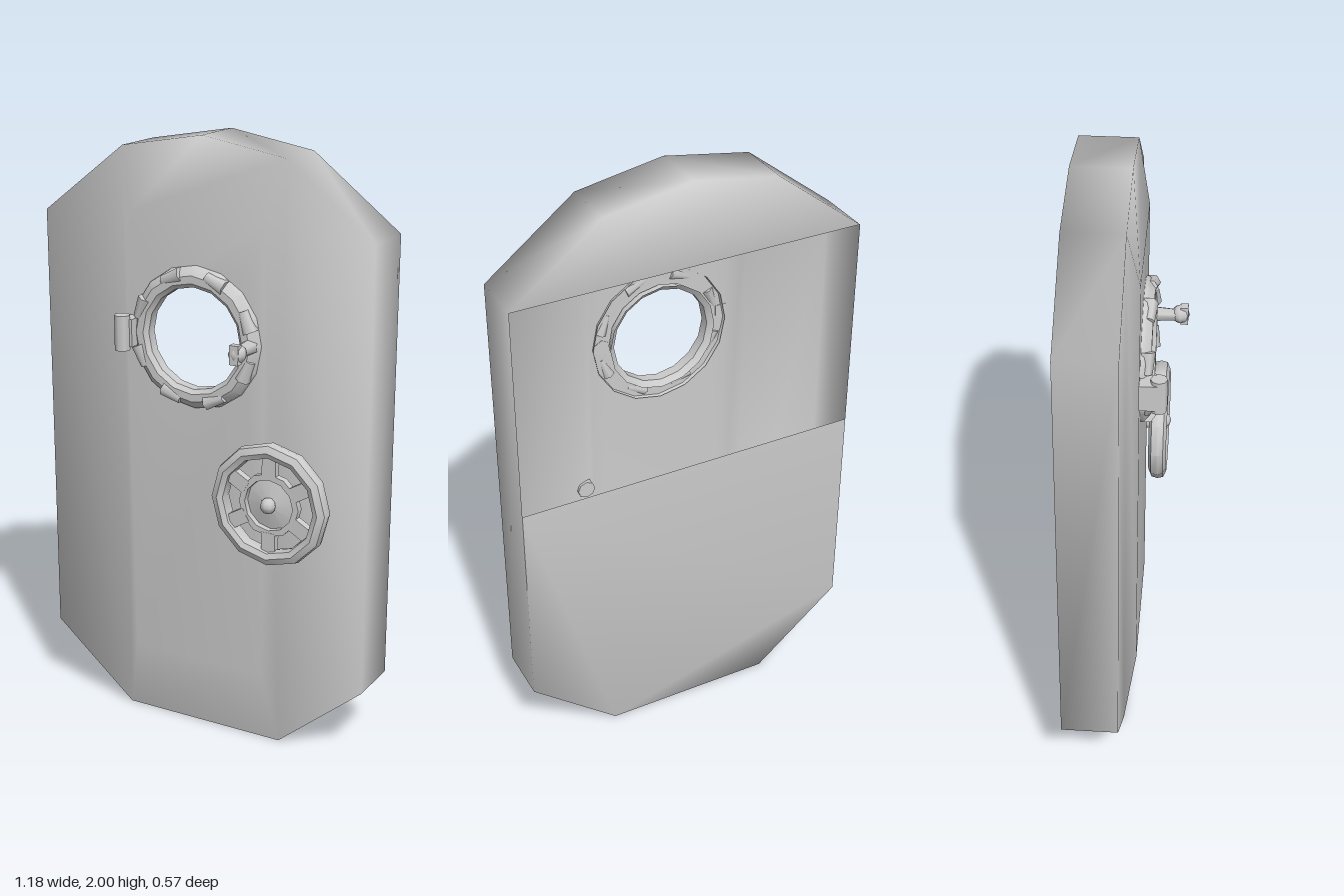
import * as THREE from 'three';
import { mergeGeometries, mergeVertices, toCreasedNormals } from 'three/addons/utils/BufferGeometryUtils.js';

const HALF = 0.0935;      // half the door thickness
const RAISE = 0.038;      // height of the raised centre field
const HOLE = { y: 1.37, r: 0.175 };
const material = new THREE.MeshStandardMaterial({ color: 0xcccccc, side: THREE.DoubleSide });

const outline = [
  [-0.29, 0], [0.29, 0], [0.588, 0.25], [0.588, 1.72], [0.29, 1.95],
  [0, 2], [-0.29, 1.95], [-0.588, 1.72], [-0.588, 0.25],
];

function mesh(name, geometry, parent, x = 0, y = 0, z = 0) {
  const m = new THREE.Mesh(geometry, material);
  m.name = name;
  m.position.set(x, y, z);
  parent.add(m);
  return m;
}

// Flat polygon whose inner corners are lifted onto the raised field
function patch(points, hole) {
  const shape = new THREE.Shape(points.map(([x, y]) => new THREE.Vector2(x, y)));
  if (hole) shape.holes.push(new THREE.Path().absarc(0, hole.y, hole.r, 0, Math.PI * 2, true));
  const g = new THREE.ShapeGeometry(shape, 8).toNonIndexed();
  const p = g.attributes.position;
  for (let i = 0; i < p.count; i++) {
    const raised = Math.abs(p.getX(i)) < 0.241 && p.getY(i) > 0.24 && p.getY(i) < 1.76;
    p.setZ(i, HALF + (raised ? RAISE : 0));
  }
  return strip(g);
}

function strip(g) {
  g.deleteAttribute('normal');
  g.deleteAttribute('uv');
  return g;
}

// Hollow door shell: front with raised field, rim, and a back with a wide opening
function shellGeometry() {
  const parts = [
    patch([[-0.24, 0.25], [0.24, 0.25], [0.24, 1.75], [-0.24, 1.75]], HOLE),
    patch([[-0.29, 0], [0.29, 0], [0.24, 0.25], [-0.24, 0.25]]),
    patch([[-0.24, 1.75], [0.24, 1.75], [0.29, 1.95], [0, 2], [-0.29, 1.95]]),
  ];
  for (const s of [-1, 1]) {
    parts.push(patch([[0.588 * s, 0.25], [0.588 * s, 1.72], [0.29 * s, 1.95], [0.29 * s, 0]]));
    parts.push(patch([[0.29 * s, 0], [0.29 * s, 1.95], [0.24 * s, 1.75], [0.24 * s, 0.25]]));
  }
  const rim = [];
  outline.forEach(([ax, ay], i) => {
    const [bx, by] = outline[(i + 1) % outline.length];
    rim.push(ax, ay, HALF, ax, ay, -HALF, bx, by, -HALF, ax, ay, HALF, bx, by, -HALF, bx, by, HALF);
  });
  const band = new THREE.BufferGeometry();
  band.setAttribute('position', new THREE.Float32BufferAttribute(rim, 3));
  parts.push(band);
  const lower = [[-0.29, 0], [0.29, 0], [0.588, 0.25], [0.588, 0.99], [-0.588, 0.99], [-0.588, 0.25]];
  const upper = [[-0.588, 1.72], [0.588, 1.72], [0.29, 1.95], [0, 2], [-0.29, 1.95]];
  for (const pts of [lower, upper]) {
    const g = strip(new THREE.ShapeGeometry(
      new THREE.Shape(pts.map(([x, y]) => new THREE.Vector2(x, y)))).toNonIndexed());
    parts.push(g.translate(0, 0, HALF).rotateY(Math.PI));
  }
  const merged = mergeVertices(mergeGeometries(parts), 1e-4);
  merged.computeVertexNormals();
  return merged;
}

// Ring turned around the z axis from [radius, z] points
function turned(points, sides) {
  const g = new THREE.LatheGeometry(points.map(([r, z]) => new THREE.Vector2(r, z)), sides);
  return toCreasedNormals(g.rotateX(Math.PI / 2), 0.7);
}

function createPorthole() {
  const porthole = new THREE.Group();
  porthole.name = 'porthole';
  porthole.position.set(0, HOLE.y, 0);
  mesh('portholeFrame', turned([
    [0.235, 0.12], [0.23, 0.142], [0.205, 0.163], [0.18, 0.163], [0.166, 0.15], [0.166, 0.115], [0.185, 0.1],
  ], 16), porthole);

  // Clamping lugs around the frame
  for (let i = 0; i < 8; i++) {
    const a = (i + 0.5) / 8 * Math.PI * 2;
    const lug = mesh('frameLug', new THREE.CylinderGeometry(0.02, 0.028, 0.07, 6),
      porthole, Math.cos(a) * 0.205, Math.sin(a) * 0.205, 0.148);
    lug.rotation.z = a;
    lug.scale.x = 0.9;
  }

  // Hinge block with its pin on one side
  mesh('hinge', new THREE.BoxGeometry(0.06, 0.09, 0.06), porthole, -0.235, 0, 0.16);
  mesh('hingePin', new THREE.CylinderGeometry(0.026, 0.026, 0.115, 8), porthole, -0.24, 0, 0.19);

  // Latch screw on the other side
  const stem = new THREE.CylinderGeometry(0.018, 0.028, 0.12, 6).rotateX(Math.PI / 2);
  mesh('latchStem', stem, porthole, 0.2, 0, 0.19);
  mesh('latchKnob', new THREE.SphereGeometry(0.03, 8, 6), porthole, 0.205, 0, 0.237);
  mesh('latchGrip', new THREE.BoxGeometry(0.03, 0.062, 0.025), porthole, 0.205, 0, 0.25);
  return porthole;
}

function createWheel() {
  const wheel = new THREE.Group();
  wheel.name = 'handWheel';
  wheel.position.set(0.29, 0.875, 0.174);
  mesh('wheelRim', turned([
    [0.155, 0], [0.16, -0.022], [0.178, -0.03], [0.2, -0.02], [0.205, 0],
    [0.2, 0.02], [0.178, 0.03], [0.16, 0.022], [0.155, 0],
  ], 12), wheel);
  mesh('wheelInnerRing', turned([
    [0.085, -0.012], [0.105, -0.012], [0.105, 0.012], [0.085, 0.012], [0.085, -0.012],
  ], 12), wheel);

  // Spokes between the rings
  for (let i = 0; i < 6; i++) {
    const a = (i + 0.5) / 6 * Math.PI * 2;
    const spoke = mesh('wheelSpoke', new THREE.BoxGeometry(0.075, 0.048, 0.026),
      wheel, Math.cos(a) * 0.13, Math.sin(a) * 0.13, 0);
    spoke.rotation.z = a;
  }
  mesh('wheelDish', new THREE.ConeGeometry(0.09, 0.02, 12).rotateX(Math.PI / 2), wheel, 0, 0, 0);
  mesh('wheelHub', new THREE.SphereGeometry(0.026, 8, 6), wheel, 0, 0, 0.014);
  mesh('wheelShaft', new THREE.CylinderGeometry(0.03, 0.03, 0.09, 8).rotateX(Math.PI / 2), wheel, 0, 0, -0.045);
  return wheel;
}

export function createModel() {
  const model = new THREE.Group();
  model.name = 'hatchDoor';
  const door = new THREE.Group();
  door.name = 'door';
  // The door stands slightly ajar
  door.rotation.y = -0.267;
  door.position.set(-0.0025, 0, -0.045);
  mesh('doorShell', shellGeometry(), door);
  door.add(createPorthole(), createWheel());
  model.add(door);
  return model;
}
